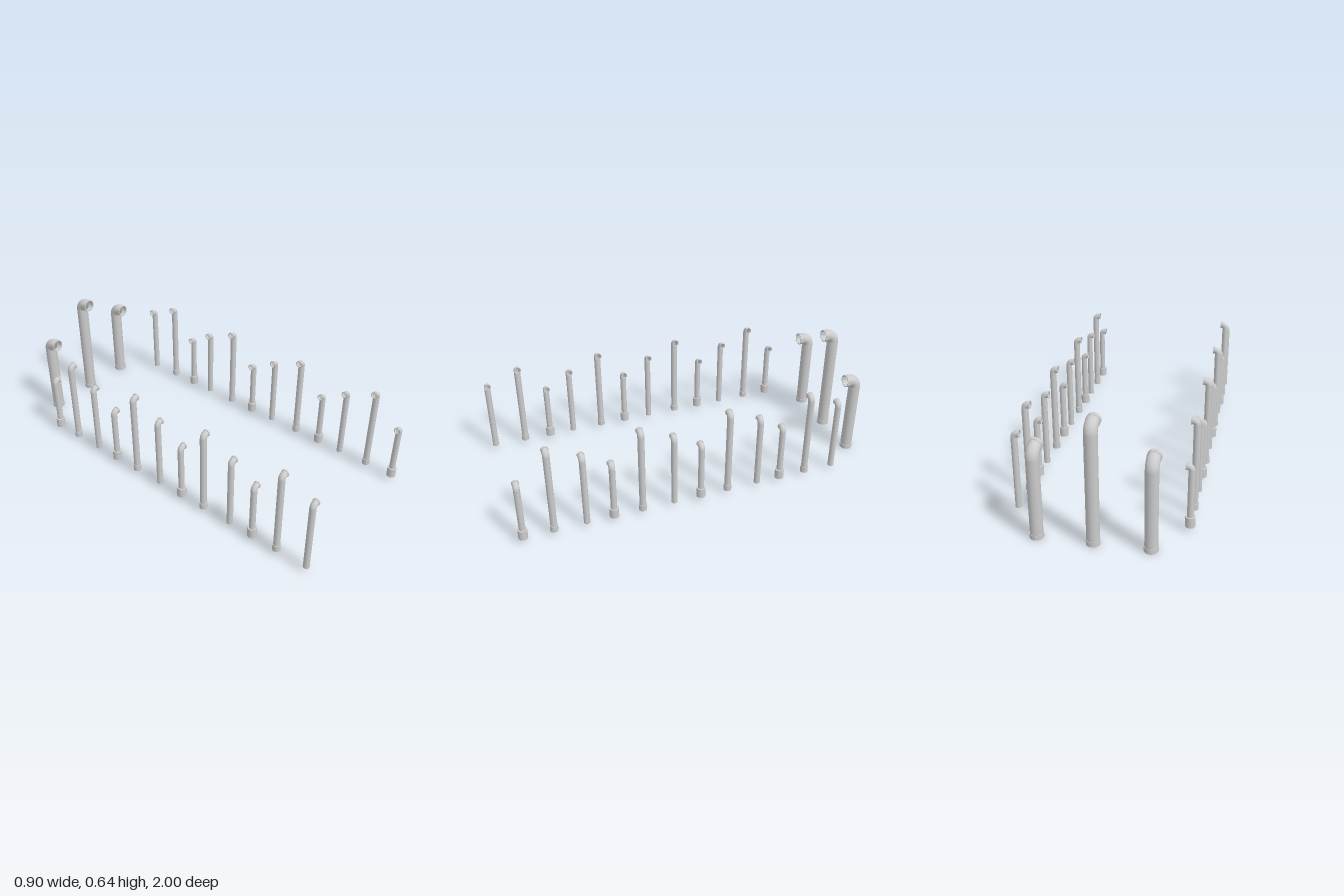
import * as THREE from 'three';
import { toCreasedNormals } from 'three/addons/utils/BufferGeometryUtils.js';

const material = new THREE.MeshStandardMaterial({ color: 0xcccccc, side: THREE.DoubleSide });
const SEGMENTS = 24;

// Vertical pipe whose top bends a quarter turn towards +x and ends in an open lip.
// base: foot height, axis: height of the mouth axis, r: radius, bend: bend radius
function makePipe(name, { base, axis, r, bend, lipRadius, lipLength, footRadius, footHeight }) {
  const pipe = new THREE.Group();
  pipe.name = name;
  const add = (part, geometry, x, y) => {
    const mesh = new THREE.Mesh(geometry, material);
    mesh.name = part;
    mesh.position.set(x, y, 0);
    pipe.add(mesh);
  };

  // straight shaft
  const length = axis - bend - base;
  add('shaft', new THREE.CylinderGeometry(r, r, length, SEGMENTS, 1, true), 0, base + length / 2);

  // quarter elbow
  const elbow = new THREE.TorusGeometry(bend, r, SEGMENTS, 10, Math.PI / 2);
  elbow.rotateZ(Math.PI / 2);
  add('elbow', elbow, bend, axis - bend);

  // hollow lip round the mouth
  const inner = r * 0.93;
  const profile = [[r, 0], [lipRadius, 0], [lipRadius, lipLength], [inner, lipLength], [inner, 0]]
    .map(([x, y]) => new THREE.Vector2(x, y));
  const lip = toCreasedNormals(new THREE.LatheGeometry(profile, SEGMENTS), 0.6);
  lip.rotateZ(-Math.PI / 2);
  add('mouthLip', lip, bend, axis);

  // closed foot collar
  add('footCollar', new THREE.CylinderGeometry(footRadius, footRadius, footHeight, SEGMENTS),
    0, base + footHeight / 2);
  return pipe;
}

const small = { base: 0.023, bend: 0.021, lipLength: 0.008 };
const KINDS = {
  tall: { ...small, axis: 0.502, r: 0.0175, lipRadius: 0.0195, footRadius: 0.021, footHeight: 0.035 },
  medium: { ...small, axis: 0.429, r: 0.0165, lipRadius: 0.0185, footRadius: 0.0168, footHeight: 0.02 },
  short: { ...small, axis: 0.345, r: 0.0165, lipRadius: 0.0185, footRadius: 0.0245, footHeight: 0.054 },
};

export function createModel() {
  const model = new THREE.Group();
  model.name = 'pipeRows';

  // two facing rows, each repeating three kinds of pipe from back to front
  const rows = [
    { name: 'leftPipe', x: 0.426, turn: Math.PI, kinds: ['medium', 'tall', 'short'],
      z: [-0.77, -0.6, -0.445, -0.31, -0.135, 0.02, 0.17, 0.345, 0.5, 0.645, 0.815, 0.972] },
    { name: 'rightPipe', x: -0.426, turn: 0, kinds: ['short', 'tall', 'medium'],
      z: [-0.77, -0.615, -0.445, -0.295, -0.14, 0.03, 0.185, 0.335, 0.51, 0.65, 0.8, 0.975] },
  ];
  for (const row of rows) {
    row.z.forEach((z, i) => {
      const pipe = makePipe(row.name + (i + 1), KINDS[row.kinds[i % 3]]);
      pipe.position.set(row.x, 0, z);
      pipe.rotation.y = row.turn;
      model.add(pipe);
    });
  }

  // three large pipes at the back, opening forwards
  [[-0.275, 0.455], [-0.003, 0.606], [0.269, 0.455]].forEach(([x, axis], i) => {
    const pipe = makePipe('largePipe' + (i + 1), {
      base: 0, axis, r: 0.032, bend: 0.042,
      lipRadius: 0.034, lipLength: 0.024, footRadius: 0.0345, footHeight: 0.024,
    });
    pipe.position.set(x, 0, -0.966);
    pipe.rotation.y = -Math.PI / 2;
    model.add(pipe);
  });

  return model;
}
